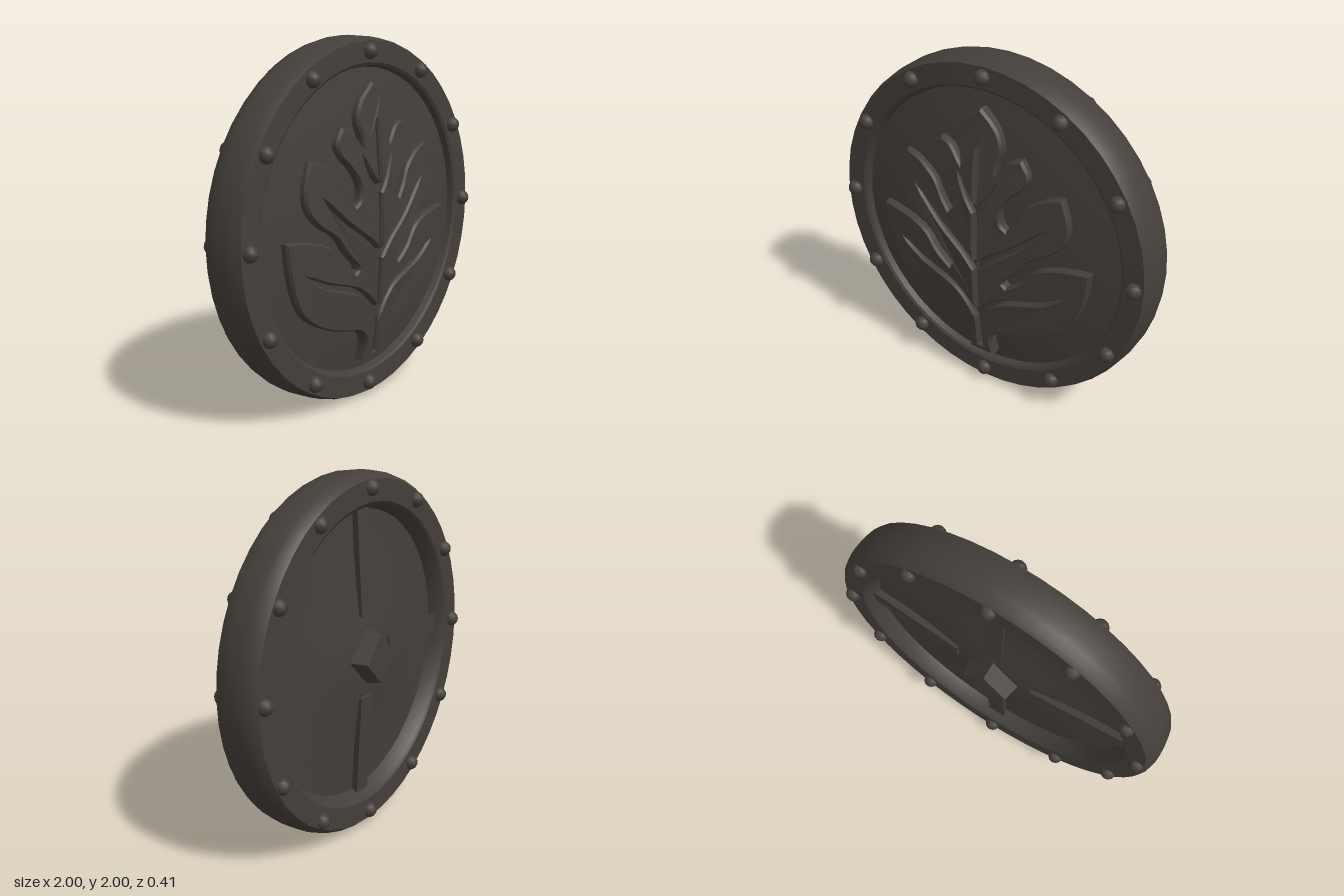
import * as THREE from 'three';
import { toCreasedNormals } from 'three/addons/utils/BufferGeometryUtils.js';

const iron = new THREE.MeshStandardMaterial({ color: 0x443f3a });
iron.name = 'dark iron';

const V = (p) => new THREE.Vector2(p[0], p[1]);

function part(name, geometry, parent, crease = 0.6) {
  const mesh = new THREE.Mesh(toCreasedNormals(geometry, crease), iron);
  mesh.name = name;
  parent.add(mesh);
  return mesh;
}

// Profile of [radius, z] turned about the z axis
const turned = (profile) => new THREE.LatheGeometry(profile.map(V), 48).rotateX(Math.PI / 2);

// Smooth edges of the right half, bottom to top, closed with their mirror image
function mirroredOutline(edges) {
  const half = edges.flatMap((edge, i) => {
    const pts = new THREE.SplineCurve(edge.map(V)).getPoints((edge.length - 1) * 3);
    return i ? pts.slice(1) : pts;
  });
  const other = half.filter((p) => p.x > 1e-4).map((p) => new THREE.Vector2(-p.x, p.y)).reverse();
  return [...half, ...other];
}

// Heights of the domed panel and of the leaf's raised face
const panelFront = (r) => 0.14 - 0.1 * r * r;
const leafFront = (x, y) => 0.207 - 0.1 * Math.abs(x) - 0.1 * (y + 0.05) ** 2;

// Each edge runs between a tip and a notch
const leafEdges = [
  [[0.08, 0.225], [0.07, 0.34], [0.13, 0.415], [0.26, 0.445], [0.42, 0.5], [0.57, 0.61], [0.65, 0.8], [0.68, 1.0]],
  [[0.68, 1.0], [0.6, 0.995], [0.47, 0.97], [0.36, 0.92], [0.28, 0.82], [0.19, 0.755]],
  [[0.19, 0.755], [0.17, 0.79], [0.26, 0.88], [0.34, 0.98], [0.45, 1.05], [0.53, 1.14], [0.545, 1.25], [0.5, 1.39]],
  [[0.5, 1.39], [0.4, 1.36], [0.29, 1.28], [0.24, 1.19], [0.19, 1.12]],
  [[0.19, 1.12], [0.155, 1.15], [0.15, 1.23], [0.2, 1.31], [0.28, 1.39], [0.305, 1.46], [0.255, 1.54]],
  [[0.255, 1.54], [0.18, 1.51], [0.11, 1.42]],
  [[0.11, 1.42], [0.12, 1.49], [0.14, 1.57], [0.1, 1.67], [0, 1.76]],
];

// Branching groove of the midrib and side veins
const veinEdges = [
  [[0.012, 0.27], [0.012, 0.47]],
  [[0.012, 0.47], [0.08, 0.57], [0.18, 0.645], [0.4, 0.715], [0.545, 0.81]],
  [[0.545, 0.81], [0.38, 0.735], [0.16, 0.665], [0.012, 0.54]],
  [[0.012, 0.54], [0.012, 0.81]],
  [[0.012, 0.81], [0.1, 0.9], [0.26, 1.02], [0.43, 1.2]],
  [[0.43, 1.2], [0.25, 1.045], [0.1, 0.94], [0.012, 0.865]],
  [[0.012, 0.865], [0.012, 1.17]],
  [[0.012, 1.17], [0.07, 1.25], [0.125, 1.38]],
  [[0.125, 1.38], [0.055, 1.27], [0.012, 1.22]],
  [[0.012, 1.22], [0.01, 1.5], [0, 1.565]],
];

// Sets each vertex's z by a rule of its place on the shield face
function bend(geo, rule) {
  geo.translate(0, -1, 0);
  const pos = geo.attributes.position;
  for (let i = 0; i < pos.count; i++) {
    pos.setZ(i, rule(pos.getX(i), pos.getY(i), pos.getZ(i)));
  }
  geo.computeVertexNormals();
  return geo;
}

// Raised leaf with bevelled upper edges and its base sunk into the panel
function leafGeometry() {
  const shape = new THREE.Shape(mirroredOutline(leafEdges));
  shape.holes.push(new THREE.Path(mirroredOutline(veinEdges)));
  const geo = new THREE.ExtrudeGeometry(shape, {
    depth: 1, bevelThickness: 0.1, bevelSize: 0.01, bevelOffset: -0.01, bevelSegments: 1,
  });
  return bend(geo, (x, y, z) => {
    if (z < 0.5) return panelFront(Math.hypot(x, y)) - 0.02;
    return leafFront(x, y) - (z > 1.05 ? 0 : 0.015);
  });
}

export function createModel() {
  const model = new THREE.Group();
  model.name = 'roundShield';
  const shield = new THREE.Group();
  shield.name = 'shieldBody';
  shield.position.y = 1;
  model.add(shield);

  // Domed panel, rising behind to a mound in its middle
  const dome = [];
  for (let i = 8; i >= 0; i--) dome.push([0.87 * i / 8, panelFront(0.87 * i / 8)]);
  part('panel', turned([
    [0, -0.115], [0.15, -0.112], [0.25, -0.1], [0.4, -0.075], [0.6, -0.056], [0.87, -0.045], ...dome,
  ]), shield);

  // Heavy rounded rim
  part('rim', turned([
    [0.795, -0.04], [0.825, -0.125], [0.845, -0.14], [0.965, -0.14], [0.985, -0.115], [0.998, -0.07],
    [1, -0.03], [0.998, 0.02], [0.99, 0.08], [0.975, 0.113], [0.86, 0.115], [0.845, 0.105], [0.83, 0.05],
  ]), shield);

  part('leafRelief', leafGeometry(), shield, 0.5);

  // Floor of the vein grooves
  const floor = new THREE.ShapeGeometry(new THREE.Shape(mirroredOutline(veinEdges)));
  part('veinFloor', bend(floor, (x, y) => leafFront(x, y) - 0.04), shield);

  // Rivets on both faces of the rim
  for (let i = 0; i < 12; i++) {
    const a = i * Math.PI / 6;
    for (const [name, z] of [['frontRivet', 0.117], ['backRivet', -0.137]]) {
      const rivet = part(name, new THREE.SphereGeometry(0.045, 12, 8), shield, 1);
      rivet.position.set(0.92 * Math.cos(a), 0.92 * Math.sin(a), z);
    }
  }

  // Four tapered braces across the back, their crests rising toward the middle
  const section = new THREE.Shape([[-0.055, 0.02], [0.055, 0.02], [0.034, 0.085], [-0.034, 0.085]].map(V));
  for (let i = 0; i < 4; i++) {
    const geo = new THREE.ExtrudeGeometry(section, { depth: 0.58, bevelEnabled: false });
    geo.rotateX(-Math.PI / 2).rotateY(Math.PI);
    // Length runs along y, raised side along -z
    geo.computeBoundingBox();
    const { min, max } = geo.boundingBox;
    geo.translate(0, -min.y, -max.z).rotateX(0.055).translate(0, 0.23, -0.055);
    part('backBrace', geo, shield).rotation.z = i * Math.PI / 2;
  }

  // Diamond-shaped boss on the back
  const boss = new THREE.CylinderGeometry(0.137, 0.16, 0.12, 4).rotateX(-Math.PI / 2);
  part('backBoss', boss, shield).position.z = -0.15;

  return model;
}
